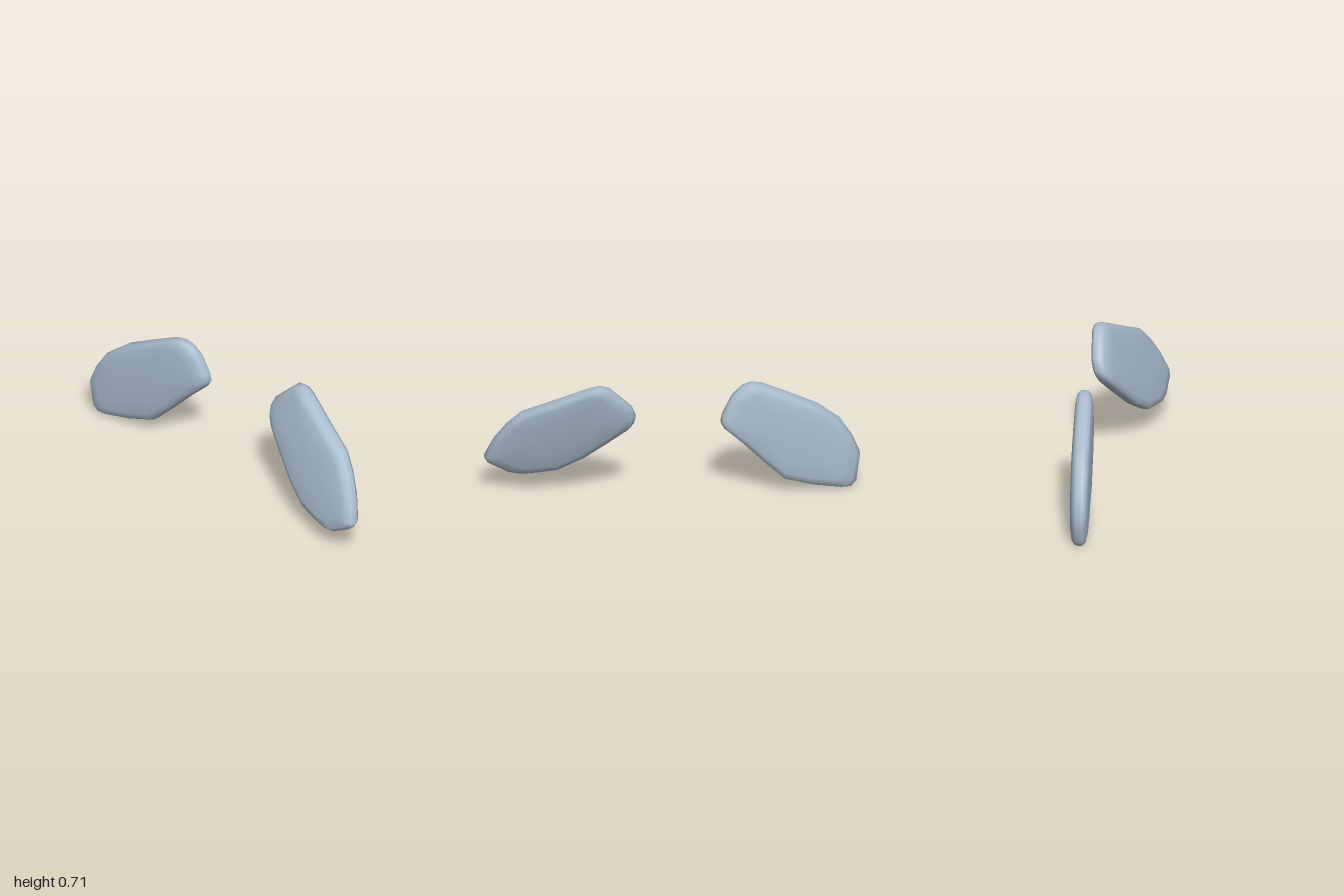
import * as THREE from 'three';

// Half cross-section of a paddle: [outline scale, half thickness] from face to rim
const PROFILE = [[0.5, 0.055], [0.82, 0.049], [0.95, 0.038], [1, 0.018]];

// Thick lens-like paddle: outline of [z, y] points, counter-clockwise seen from +x,
// lying on the plane x = a + b * y + c * z
function paddleGeometry(outline, a, b, c) {
  const n = outline.length;
  const zs = outline.map(p => p[0]), ys = outline.map(p => p[1]);
  const cz = (Math.min(...zs) + Math.max(...zs)) / 2;
  const cy = (Math.min(...ys) + Math.max(...ys)) / 2;
  const rings = [...PROFILE, ...PROFILE.slice().reverse().map(([s, h]) => [s, -h])];
  const pos = [], index = [];
  const add = (z, y, h) => pos.push(a + b * y + c * z + h, y, z);

  for (const [s, h] of rings)
    for (const [z, y] of outline) add(cz + (z - cz) * s, cy + (y - cy) * s, h);
  add(cz, cy, 0.058);
  add(cz, cy, -0.058);

  const plus = rings.length * n, minus = plus + 1, last = (rings.length - 1) * n;
  for (let j = 0; j < n; j++) {
    const k = (j + 1) % n;
    for (let i = 0; i < rings.length - 1; i++) {
      const p = i * n + j, q = i * n + k;
      index.push(p, p + n, q, q, p + n, q + n);
    }
    index.push(plus, j, k, minus, last + k, last + j);
  }
  const geo = new THREE.BufferGeometry();
  geo.setAttribute('position', new THREE.Float32BufferAttribute(pos, 3));
  geo.setIndex(index);
  geo.computeVertexNormals();
  return geo;
}

export function createModel() {
  const group = new THREE.Group();
  const blueGrey = new THREE.MeshStandardMaterial({ color: 0xa9bccd });
  blueGrey.name = 'blueGrey';

  const front = [
    [1.0, 0.215], [0.98, 0.18], [0.87, 0.118], [0.8, 0.107], [0.71, 0.12], [0.61, 0.14],
    [0.47, 0.225], [0.35, 0.325], [0.23, 0.43], [0.2, 0.475], [0.19, 0.515], [0.21, 0.575],
    [0.27, 0.637], [0.33, 0.697], [0.38, 0.71], [0.43, 0.695], [0.61, 0.608], [0.8, 0.52],
    [0.88, 0.435], [0.95, 0.33],
  ];
  const back = [
    [-0.26, 0.46], [-0.28, 0.42], [-0.38, 0.32], [-0.49, 0.2], [-0.6, 0.087], [-0.75, 0.035],
    [-0.9, 0.003], [-0.95, 0.002], [-0.98, 0.035], [-0.99, 0.11], [-1.0, 0.18], [-0.96, 0.285],
    [-0.89, 0.4], [-0.77, 0.5], [-0.62, 0.58], [-0.48, 0.652], [-0.42, 0.665], [-0.375, 0.65],
    [-0.32, 0.6], [-0.27, 0.5],
  ];

  const frontPaddle = new THREE.Mesh(paddleGeometry(front, -0.041, 0.29, -0.04), blueGrey);
  frontPaddle.name = 'frontPaddle';
  const backPaddle = new THREE.Mesh(paddleGeometry(back, 0.104, -0.01, 0.254), blueGrey);
  backPaddle.name = 'backPaddle';
  group.add(frontPaddle, backPaddle);
  return group;
}
